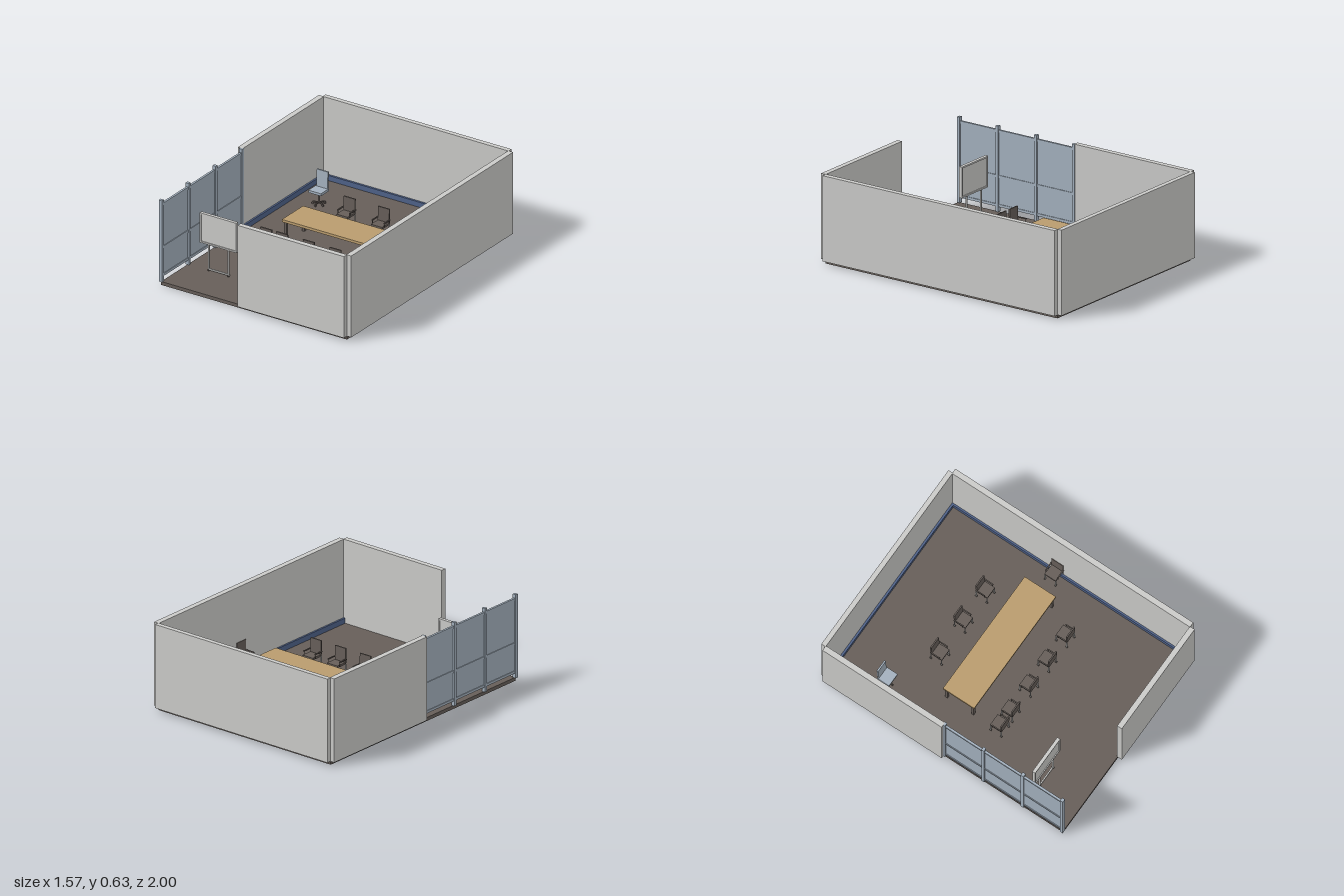
import * as THREE from 'three';

const mat = (name, color) => {
  const m = new THREE.MeshStandardMaterial({ color });
  m.name = name;
  return m;
};
const wallGrey = mat('wallGrey', 0xcacac8);
const darkBrown = mat('darkBrown', 0x665e59);
const wood = mat('wood', 0xb99c6e);
const skirtingBlue = mat('skirtingBlue', 0x4f6289);
const paleBlue = mat('paleBlue', 0xa3b0bd);

const group = (name, parent) => {
  const g = new THREE.Group();
  g.name = name;
  parent.add(g);
  return g;
};

// Box given by its limits on each axis
function box(parent, name, m, [x0, x1], [y0, y1], [z0, z1]) {
  const mesh = new THREE.Mesh(new THREE.BoxGeometry(x1 - x0, y1 - y0, z1 - z0), m);
  mesh.position.set((x0 + x1) / 2, (y0 + y1) / 2, (z0 + z1) / 2);
  mesh.name = name;
  parent.add(mesh);
  return mesh;
}

// Upright round post
function post(parent, name, m, r, x, z, y0, y1) {
  const mesh = new THREE.Mesh(new THREE.CylinderGeometry(r, r, y1 - y0, 12), m);
  mesh.position.set(x, (y0 + y1) / 2, z);
  mesh.name = name;
  parent.add(mesh);
  return mesh;
}

// Wheel rolling along z
function caster(parent, x, y, z, r = 0.007) {
  const mesh = new THREE.Mesh(new THREE.CylinderGeometry(r, r, 0.008, 12), darkBrown);
  mesh.rotation.z = Math.PI / 2;
  mesh.position.set(x, y, z);
  mesh.name = 'caster';
  parent.add(mesh);
}

const FLOOR = 0.025, TOP = 0.63;

// Four-legged meeting chair facing +z
function meetingChair(parent, x, z, turn) {
  const c = group('meetingChair', parent);
  c.position.set(x, FLOOR, z);
  c.rotation.y = turn;
  box(c, 'seat', darkBrown, [-0.045, 0.045], [0.09, 0.105], [-0.045, 0.047]);
  const back = box(c, 'backrest', darkBrown, [-0.046, 0.046], [0.096, 0.205], [-0.047, -0.037]);
  back.rotation.x = -0.03;
  for (const s of [-1, 1]) {
    box(c, 'armrest', darkBrown, [s * 0.049 - 0.004, s * 0.049 + 0.004], [0.123, 0.13], [-0.045, 0.03]);
    post(c, 'armSupport', darkBrown, 0.003, s * 0.048, 0.025, 0.095, 0.125);
    for (const t of [-1, 1]) {
      post(c, 'leg', wallGrey, 0.0045, s * 0.043, t * 0.043, 0.012, 0.092);
      caster(c, s * 0.043, 0.008, t * 0.043, 0.008);
    }
  }
}

// Swivel chair on a five-armed base
function swivelChair(parent, x, z) {
  const c = group('swivelChair', parent);
  c.position.set(x, FLOOR, z);
  box(c, 'seat', paleBlue, [-0.051, 0.051], [0.095, 0.113], [-0.045, 0.051]);
  const back = box(c, 'backrest', paleBlue, [-0.045, 0.045], [0.11, 0.235], [-0.05, -0.038]);
  back.rotation.x = -0.05;
  post(c, 'column', darkBrown, 0.007, 0, 0, 0.015, 0.096);
  for (let i = 0; i < 5; i++) {
    const arm = group('baseArm', c);
    arm.rotation.y = (i * Math.PI * 2) / 5;
    box(arm, 'spoke', darkBrown, [-0.004, 0.004], [0.014, 0.022], [0, 0.045]);
    caster(arm, 0, 0.008, 0.042, 0.008);
  }
}

export function createModel() {
  const room = new THREE.Group();
  room.name = 'meetingRoom';

  // Floor and walls
  box(room, 'floor', darkBrown, [-0.752, 0.75], [0, FLOOR], [-0.965, 0.965]);
  const walls = group('walls', room);
  box(walls, 'backWall', wallGrey, [-0.752, 0.75], [FLOOR, TOP], [-1, -0.965]);
  box(walls, 'frontWall', wallGrey, [-0.11, 0.75], [FLOOR, TOP], [0.962, 1]);
  box(walls, 'rightWall', wallGrey, [-0.785, -0.745], [FLOOR, TOP], [-0.968, 0]);
  box(walls, 'leftWall', wallGrey, [0.745, 0.785], [FLOOR, TOP], [-0.968, 0.965]);

  // Skirting boards
  const skirting = group('skirting', room);
  box(skirting, 'backSkirting', skirtingBlue, [-0.745, 0.745], [FLOOR, 0.063], [-0.965, -0.95]);
  box(skirting, 'rightSkirting', skirtingBlue, [-0.745, -0.732], [FLOOR, 0.063], [-0.95, 0]);
  box(skirting, 'leftSkirting', skirtingBlue, [0.732, 0.745], [FLOOR, 0.063], [-0.95, 0.962]);

  // Glazed partition along the open part of the right side
  const partition = group('partition', room);
  const posts = [0.003, 0.32, 0.64, 0.96];
  posts.forEach((z, i) => {
    box(partition, 'partitionPost', paleBlue, [-0.766, -0.74], [FLOOR, TOP], [z - 0.011, z + 0.011]);
    if (i === 3) return;
    const span = [z + 0.011, posts[i + 1] - 0.011];
    box(partition, 'partitionPane', paleBlue, [-0.756, -0.75], [0.06, 0.595], span);
    for (const y of [0.06, 0.265, 0.585])
      box(partition, 'partitionRail', paleBlue, [-0.761, -0.745], [y, y + 0.018], span);
  });

  // Table
  const table = group('table', room);
  box(table, 'tableTop', wood, [-0.42, 0.545], [0.177, 0.196], [-0.24, 0.013]);
  for (const x of [-0.4, 0.525])
    for (const z of [-0.22, -0.007])
      box(table, 'tableLeg', darkBrown, [x - 0.01, x + 0.01], [FLOOR, 0.177], [z - 0.01, z + 0.01]);

  // Chairs around the table
  const chairs = group('chairs', room);
  for (const x of [-0.195, 0.083, 0.342]) meetingChair(chairs, x, -0.42, 0);
  for (const x of [-0.39, -0.262, -0.046, 0.17, 0.384]) meetingChair(chairs, x, 0.2, Math.PI);
  meetingChair(chairs, 0.703, -0.11, -Math.PI / 2);
  swivelChair(chairs, -0.543, -0.61);

  // Whiteboard on a rolling stand
  const board = group('whiteboard', room);
  const z = 0.652;
  box(board, 'boardPanel', wallGrey, [-0.636, -0.358], [0.235, 0.437], [z - 0.005, z + 0.005]);
  for (const y of [0.225, 0.435])
    box(board, 'boardFrame', wallGrey, [-0.645, -0.349], [y, y + 0.011], [z - 0.012, z + 0.012]);
  for (const x of [-0.645, -0.359])
    box(board, 'boardFrame', wallGrey, [x, x + 0.01], [0.235, 0.437], [z - 0.012, z + 0.012]);
  for (const x of [-0.578, -0.418]) {
    post(board, 'standLeg', wallGrey, 0.007, x, z, 0.035, 0.23);
    caster(board, x, 0.034, z, 0.009);
  }
  box(board, 'standRail', wallGrey, [-0.578, -0.418], [0.035, 0.046], [z - 0.005, z + 0.005]);

  return room;
}
